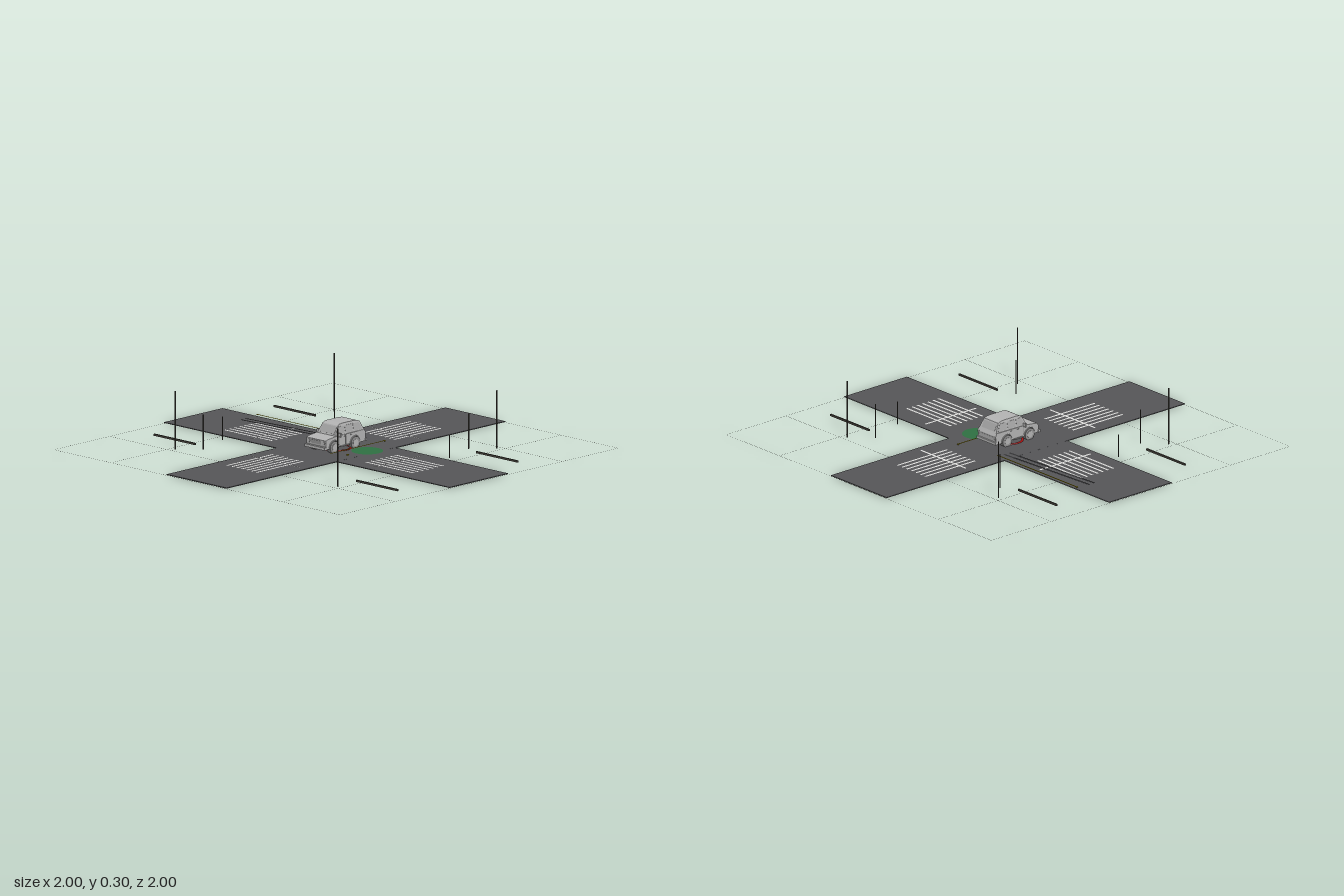
import * as THREE from 'three';

const mat = (name, color) => Object.assign(new THREE.MeshStandardMaterial({ color }), { name });

export function createModel() {
  const M = {
    asphalt: mat('asphalt', 0x565658),
    paint: mat('road paint', 0xdcdcda),
    metal: mat('dark metal', 0x46433c),
    skid: mat('tyre rubber', 0x343436),
    yellow: mat('yellow tape', 0xa3930c),
    green: mat('green spill', 0x2f7042),
    red: mat('red ring', 0xb01010),
    silver: mat('car silver', 0xb4b4b4),
    glass: mat('car glass', 0xa6a6a6),
    trim: mat('car trim', 0x929292),
  };
  const root = new THREE.Group();
  root.name = 'crossroads';
  const add = (parent, name, geo, m, x = 0, y = 0, z = 0) => {
    const mesh = new THREE.Mesh(geo, m);
    mesh.name = name;
    mesh.position.set(x, y, z);
    parent.add(mesh);
    return mesh;
  };
  const box = (parent, name, m, w, h, d, x, y, z) => add(parent, name, new THREE.BoxGeometry(w, h, d), m, x, y, z);
  // flat marking that faces up
  const flat = (parent, name, m, w, d, x, y, z) => add(parent, name, new THREE.PlaneGeometry(w, d).rotateX(-Math.PI / 2), m, x, y, z);
  const group = (name) => {
    const g = new THREE.Group();
    g.name = name;
    root.add(g);
    return g;
  };

  // crossing roads, one very slightly above the other
  box(root, 'roadNorthSouth', M.asphalt, 0.42, 0.004, 2, 0, 0.005, 0);
  box(root, 'roadEastWest', M.asphalt, 2, 0.0036, 0.42, 0, 0.005, 0);

  // hairline block grid on the ground
  const grid = group('blockGrid');
  for (const p of [-0.9997, -0.6, 0.6, 0.9997]) {
    box(grid, 'gridLineX', M.metal, 2, 0.0005, 0.0005, 0, 0.0005, p);
    box(grid, 'gridLineZ', M.metal, 0.0005, 0.0005, 2, p, 0.0005, 0);
  }

  // crosswalk stripes and stop bars on all four arms
  const marks = group('roadMarkings');
  for (const s of [-1, 1]) {
    for (let i = 0; i < 7; i++) {
      flat(marks, 'crosswalkStripe', M.paint, 0.011, 0.335, -0.12 + i * 0.035, 0.0085, s * 0.494);
      flat(marks, 'crosswalkStripe', M.paint, 0.335, 0.011, s * 0.494, 0.0085, -0.09 + i * 0.035);
    }
    flat(marks, 'stopBar', M.paint, 0.34, 0.011, 0, 0.009, s * 0.432);
    flat(marks, 'stopBar', M.paint, 0.011, 0.34, s * 0.432, 0.009, 0);
  }

  // street poles and low barriers in every corner
  const street = group('streetFurniture');
  const pole = (name, x, z, h, r) => add(street, name, new THREE.CylinderGeometry(r, r, h, 18), M.metal, x, h / 2, z);
  for (const sx of [-1, 1]) for (const sz of [-1, 1]) {
    pole('lampPole', sx * 0.57, sz * 0.57, 0.3, 0.0035);
    pole('signalPole', sx * 0.47, sz * 0.47, 0.18, 0.003);
    box(street, 'lowBarrier', M.metal, 0.29, 0.01, 0.008, sx * 0.708, 0.005, sz * 0.43);
  }
  for (const s of [-1, 1]) box(street, 'signPost', M.metal, 0.003, 0.12, 0.005, s * 0.542, 0.06, s * -0.26);

  // incident marks: tapes with end tabs, skid marks, spill, ring and a fragment
  const scene = group('incidentMarks');
  flat(scene, 'yellowTapeLong', M.yellow, 0.605, 0.009, -0.453, 0.017, -0.206);
  flat(scene, 'yellowTapeShort', M.yellow, 0.009, 0.395, 0.097, 0.017, -0.055);
  box(scene, 'tapeTab', M.yellow, 0.006, 0.005, 0.009, -0.752, 0.0165, -0.206);
  box(scene, 'tapeTab', M.yellow, 0.009, 0.005, 0.006, 0.097, 0.0165, -0.249);
  for (const z of [-0.142, -0.108])
    flat(scene, 'skidMark', M.skid, 0.602, 0.013, -0.452, 0.0095, z).rotation.y = 0.058;
  add(scene, 'greenSpill', new THREE.CircleGeometry(0.08, 32).rotateX(-Math.PI / 2), M.green, 0.16, 0.0078, -0.06);
  add(scene, 'redRing', new THREE.TorusGeometry(0.073, 0.006, 18, 48).rotateX(Math.PI / 2), M.red, 0, 0.006, 0);
  box(scene, 'fragment', M.yellow, 0.008, 0.005, 0.008, 0.155, 0.0095, 0.075);

  // car: side profiles in (z, y), extruded across x
  const car = group('car');
  const across = (shape, width) => new THREE.ExtrudeGeometry(shape, { depth: width, bevelEnabled: false, curveSegments: 10 })
    .translate(0, 0, -width / 2).rotateY(-Math.PI / 2);
  const poly = (pts) => new THREE.Shape(pts.map(([z, y]) => new THREE.Vector2(z, y)));
  const wheelZ = [0.083, -0.067];

  // lower body with round wheel arches
  const body = new THREE.Shape();
  body.moveTo(-0.14, 0.03);
  for (const z of [...wheelZ].reverse()) {
    body.lineTo(z - 0.035, 0.03);
    body.absarc(z, 0.034, 0.035, Math.PI, 0, true);
    body.lineTo(z + 0.035, 0.03);
  }
  for (const [z, y] of [[0.138, 0.03], [0.143, 0.05], [0.142, 0.076], [0.13, 0.081], [0.068, 0.088], [-0.135, 0.09], [-0.143, 0.075]])
    body.lineTo(z, y);
  add(car, 'lowerBody', across(body, 0.136), M.silver);
  box(car, 'underbody', M.silver, 0.085, 0.03, 0.27, 0, 0.045, 0);

  // cabin, narrowing towards the roof
  const lean = (y) => 0.064 - (y - 0.088) * 0.22;
  const taper = (name, pts, m, offset) => {
    const g = across(poly(pts), 2);
    const p = g.attributes.position;
    for (let i = 0; i < p.count; i++) p.setX(i, p.getX(i) * (lean(p.getY(i)) + offset));
    g.computeVertexNormals();
    add(car, name, g, m);
  };
  taper('cabin', [[-0.137, 0.088], [0.07, 0.086], [0.041, 0.136], [0.03, 0.142], [0.01, 0.144],
    [-0.07, 0.144], [-0.095, 0.142], [-0.113, 0.136]], M.silver, 0);
  for (const pts of [
    [[0.002, 0.094], [0.056, 0.094], [0.036, 0.131], [0.002, 0.131]],
    [[-0.056, 0.094], [-0.004, 0.094], [-0.004, 0.131], [-0.056, 0.131]],
    [[-0.122, 0.094], [-0.062, 0.094], [-0.062, 0.131], [-0.106, 0.131]],
  ]) taper('sideWindows', pts, M.glass, 0.001);
  // front and rear screens as thin tilted plates
  box(car, 'windscreen', M.glass, 0.102, 0.042, 0.002, 0, 0.113, 0.0545).rotation.x = -Math.atan2(0.029, 0.05);
  box(car, 'rearScreen', M.glass, 0.096, 0.038, 0.002, 0, 0.112, -0.125).rotation.x = Math.atan2(0.024, 0.048);

  // front and rear details
  box(car, 'frontBumper', M.silver, 0.142, 0.014, 0.014, 0, 0.036, 0.147);
  box(car, 'rearBumper', M.silver, 0.142, 0.014, 0.01, 0, 0.038, -0.143);
  box(car, 'grille', M.trim, 0.07, 0.018, 0.003, 0, 0.062, 0.143);
  box(car, 'tailgateSeam', M.trim, 0.11, 0.002, 0.003, 0, 0.068, -0.142);
  for (const s of [-1, 1]) {
    add(car, 'headlight', new THREE.CylinderGeometry(0.01, 0.01, 0.006, 20).rotateX(Math.PI / 2), M.silver, s * 0.051, 0.063, 0.143);
    box(car, 'tailLight', M.trim, 0.012, 0.02, 0.004, s * 0.058, 0.066, -0.141);
    box(car, 'sideMirror', M.silver, 0.02, 0.018, 0.009, s * 0.074, 0.092, 0.048);
    box(car, 'sill', M.trim, 0.008, 0.006, 0.07, s * 0.069, 0.032, 0.008);
    for (const z of [0.044, -0.001])
      box(car, 'doorSeam', M.trim, 0.001, 0.05, 0.0015, s * 0.0683, 0.062, z);
    for (const z of [0.006, -0.04])
      box(car, 'doorHandle', M.trim, 0.003, 0.003, 0.01, s * 0.069, 0.08, z);
    for (const z of wheelZ) {
      const y = 0.0345;
      add(car, 'tyre', new THREE.CylinderGeometry(0.031, 0.031, 0.026, 28).rotateZ(Math.PI / 2), M.trim, s * 0.059, y, z);
      add(car, 'wheelRim', new THREE.CylinderGeometry(0.018, 0.018, 0.028, 20).rotateZ(Math.PI / 2), M.silver, s * 0.0595, y, z);
      add(car, 'wheelArch', new THREE.TorusGeometry(0.035, 0.002, 16, 24, Math.PI).rotateY(Math.PI / 2), M.silver, s * 0.068, 0.034, z);
    }
  }
  return root;
}
